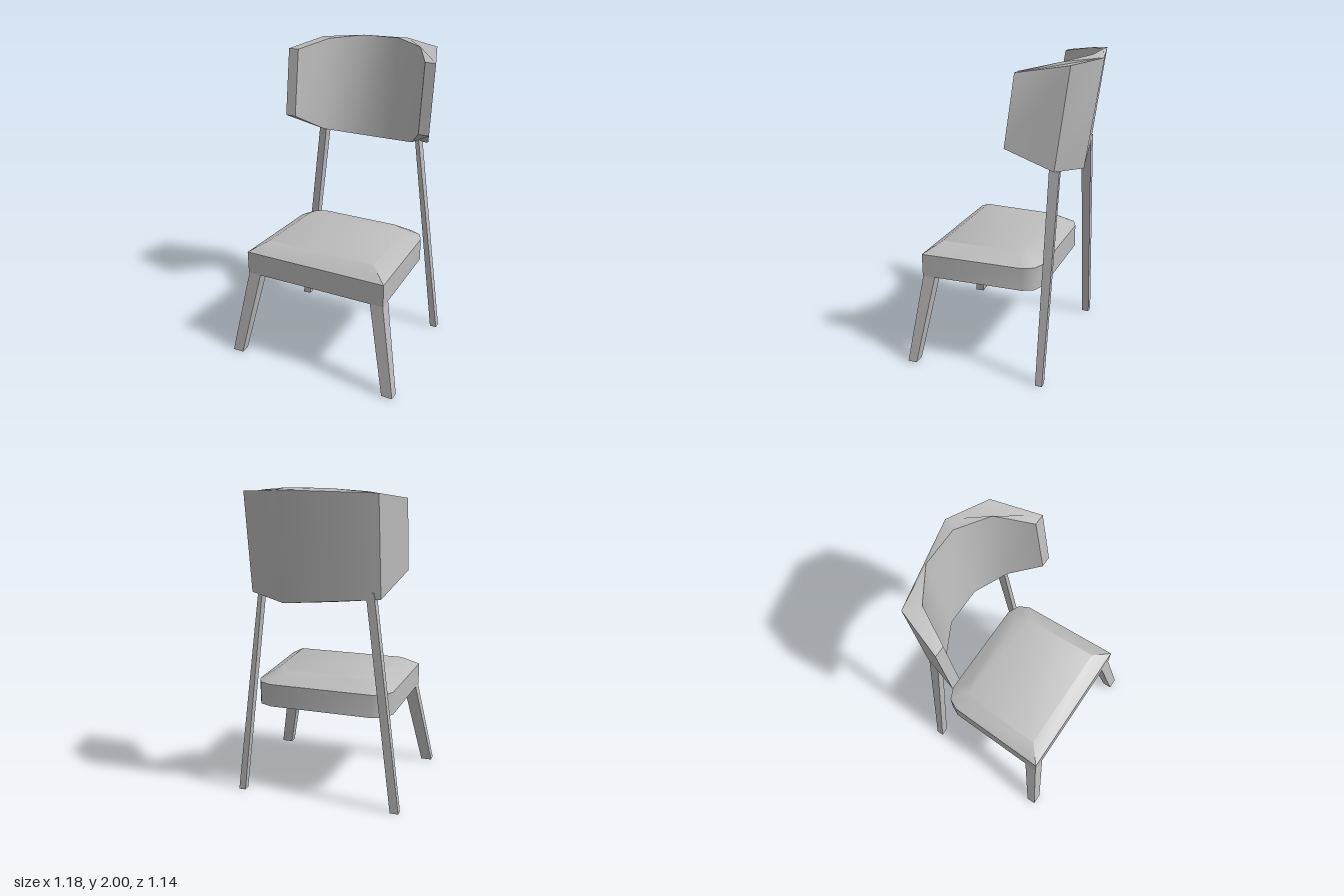
import * as THREE from 'three';
import { toCreasedNormals } from 'three/addons/utils/BufferGeometryUtils.js';

const gray = new THREE.MeshStandardMaterial({ color: 0xbcbcbc });
gray.name = 'plain gray';

// Closed solid lofted through rings of [x, y, z] points, listed from bottom to top
function loft(name, rings) {
  const flat = (r) => r.map(([x, , z]) => new THREE.Vector2(x, z));
  if (THREE.ShapeUtils.area(flat(rings[0])) < 0) rings = rings.map((r) => [...r].reverse());
  const n = rings[0].length, last = rings.length - 1, index = [];
  for (let k = 0; k < last; k++) {
    for (let i = 0; i < n; i++) {
      const a = k * n + i, b = k * n + (i + 1) % n;
      index.push(a, a + n, b, b, a + n, b + n);
    }
  }
  for (const [a, b, c] of THREE.ShapeUtils.triangulateShape(flat(rings[0]), [])) index.push(a, b, c);
  for (const [a, b, c] of THREE.ShapeUtils.triangulateShape(flat(rings[last]), [])) {
    index.push(last * n + a, last * n + c, last * n + b);
  }
  const geo = new THREE.BufferGeometry();
  geo.setAttribute('position', new THREE.Float32BufferAttribute(rings.flat(2), 3));
  geo.setIndex(index);
  const mesh = new THREE.Mesh(toCreasedNormals(geo, 0.72), gray);
  mesh.name = name;
  return mesh;
}

// Rectangle ring at height y
const rect = (x0, x1, z0, z1, y) => [[x0, y, z0], [x1, y, z0], [x1, y, z1], [x0, y, z1]];

export function createModel() {
  const chair = new THREE.Group();
  chair.name = 'chair';

  // Seat: rounded rear corners, cushion bevelled towards a flat top
  const half = [[0.48, 0.49], [0.455, -0.18], [0.42, -0.25], [0.34, -0.285]];
  const plan = [...half, ...half.map(([x, z]) => [-x, z]).reverse()];
  const seatRing = (y, sx, sz) => plan.map(([x, z]) => [x * sx, y, 0.105 + (z - 0.105) * sz]);
  chair.add(loft('seat', [seatRing(0.59, 1, 1), seatRing(0.74, 1, 1), seatRing(0.805, 0.77, 0.75)]));

  // Backrest: curved inside, faceted outside, leaning backwards
  const lower = [
    [-0.51, 1.5, -0.09], [-0.41, 1.36, -0.36], [0.16, 1.325, -0.47], [0.41, 1.36, -0.36], [0.51, 1.5, -0.09],
    [0.44, 1.5, -0.09], [0.325, 1.375, -0.28], [0.125, 1.335, -0.39],
    [-0.125, 1.335, -0.39], [-0.325, 1.375, -0.28], [-0.44, 1.5, -0.09],
  ];
  const upper = [
    [-0.51, 1.935, -0.155], [-0.41, 1.975, -0.445], [0.16, 1.99, -0.57], [0.41, 1.975, -0.445], [0.51, 1.935, -0.155],
    [0.44, 1.935, -0.155], [0.325, 1.98, -0.37], [0.125, 2, -0.49],
    [-0.125, 2, -0.49], [-0.325, 1.98, -0.37], [-0.44, 1.935, -0.155],
  ];
  chair.add(loft('backrest', [lower, upper]));

  // Splayed front legs
  for (const s of [1, -1]) {
    chair.add(loft(s > 0 ? 'leftFrontLeg' : 'rightFrontLeg', [
      rect(s * 0.515, s * 0.588, 0.51, 0.57, 0.005),
      rect(s * 0.39, s * 0.475, 0.405, 0.487, 0.6),
    ]));
  }

  // Tall rear legs that carry the backrest
  chair.add(loft('leftRearLeg', [
    rect(0.51, 0.555, -0.35, -0.305, 0),
    rect(0.332, 0.358, -0.38, -0.315, 1.4),
  ]));
  chair.add(loft('rightRearLeg', [
    rect(-0.545, -0.49, -0.362, -0.315, 0),
    rect(-0.372, -0.322, -0.38, -0.315, 1.4),
  ]));

  return chair;
}
